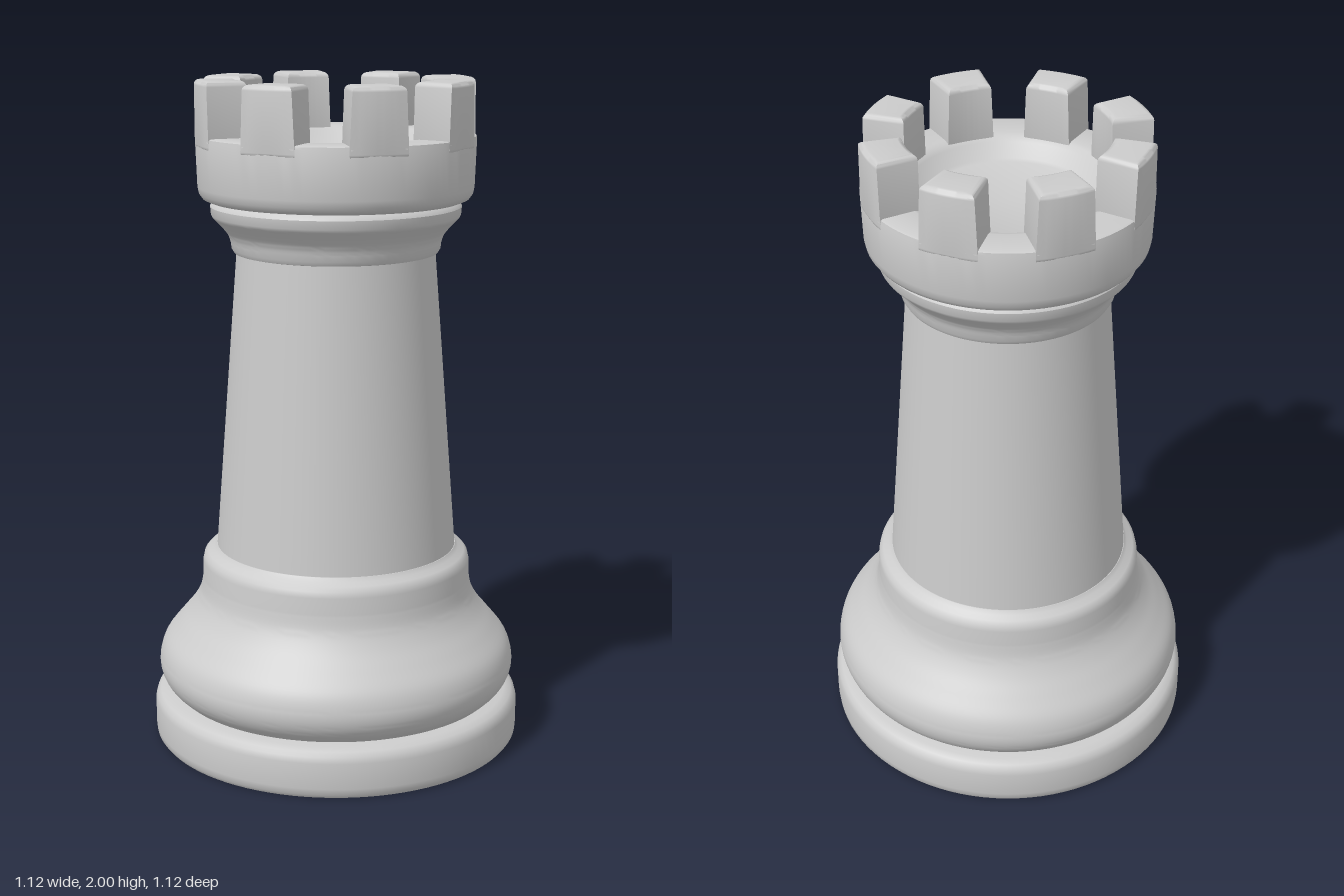
import * as THREE from 'three';
import { toCreasedNormals } from 'three/addons/utils/BufferGeometryUtils.js';

const material = new THREE.MeshStandardMaterial({ color: 0xcccccc });
const SEGMENTS = 96;
const MERLONS = 8;

// Smooth a list of [radius, height] points into profile points.
function smooth(points, divisions) {
  return new THREE.SplineCurve(points.map(([r, y]) => new THREE.Vector2(r, y))).getPoints(divisions);
}

// Turn a bottom-to-top profile around the y axis.
function turned(name, profile) {
  const points = profile.map((p) => (p.isVector2 ? p : new THREE.Vector2(p[0], p[1])));
  const geometry = toCreasedNormals(new THREE.LatheGeometry(points, SEGMENTS), 0.6);
  const mesh = new THREE.Mesh(geometry, material);
  mesh.name = name;
  return mesh;
}

// One battlement block: a ring sector with rounded edges.
function merlonGeometry() {
  const bevel = 0.016;
  const outer = 0.411 - bevel, inner = 0.29 + bevel;
  const outerAngle = (0.076 - bevel) / outer;
  const innerAngle = (0.066 - bevel) / inner;
  const shape = new THREE.Shape();
  shape.absarc(0, 0, outer, -outerAngle, outerAngle, false);
  shape.absarc(0, 0, inner, innerAngle, -innerAngle, true);
  shape.closePath();
  const geometry = new THREE.ExtrudeGeometry(shape, {
    depth: 0.2 - 2 * bevel, bevelEnabled: true, bevelSize: bevel,
    bevelThickness: bevel, bevelSegments: 4, curveSegments: 8,
  });
  geometry.rotateX(-Math.PI / 2);
  geometry.translate(0, 1.8 + bevel, 0);
  // Widen the block slightly towards its foot
  const pos = geometry.attributes.position;
  for (let i = 0; i < pos.count; i++) {
    pos.setZ(i, pos.getZ(i) * (1 + (2 - pos.getY(i)) * 0.6));
    const r = Math.hypot(pos.getX(i), pos.getZ(i));
    if (r > 0.411) {
      pos.setX(i, pos.getX(i) * 0.411 / r);
      pos.setZ(i, pos.getZ(i) * 0.411 / r);
    }
  }
  return toCreasedNormals(geometry, 0.8);
}

export function createModel() {
  const model = new THREE.Group();
  model.name = 'rook';

  // Foot disc with a closed underside
  model.add(turned('foot', [
    [0, 0], [0.55, 0], [0.559, 0.012], [0.561, 0.03], [0.561, 0.108],
    [0.556, 0.126], [0.545, 0.138], [0.525, 0.146], [0.48, 0.15],
  ]));

  // Bulging base and its upper band
  model.add(turned('base', [
    ...smooth([
      [0.495, 0.146], [0.525, 0.175], [0.542, 0.21], [0.544, 0.25], [0.528, 0.3],
      [0.487, 0.352], [0.446, 0.402], [0.419, 0.45], [0.408, 0.5],
    ], 40),
    [0.407, 0.55], [0.403, 0.568], [0.392, 0.58], [0.374, 0.588], [0.365, 0.6], [0.34, 0.602],
  ]));

  // Tapered shaft
  model.add(turned('shaft', [[0.364, 0.59], [0.294, 1.5]]));

  // Flared collar under the crown
  model.add(turned('collar', [
    [0.285, 1.492], [0.302, 1.496], [0.309, 1.508],
    ...smooth([[0.311, 1.525], [0.32, 1.55], [0.343, 1.578], [0.363, 1.598]], 12),
    [0.368, 1.607], [0.37, 1.632], [0.364, 1.642], [0.35, 1.65],
  ]));

  // Crown wall, sloping inner rim and sunken floor
  model.add(turned('crown', [
    [0.34, 1.647], [0.375, 1.649], [0.392, 1.656], [0.402, 1.67], [0.406, 1.69],
    [0.411, 1.83], [0.409, 1.837], [0.402, 1.84], [0.31, 1.84], [0.295, 1.836],
    [0.28, 1.824], [0.25, 1.786], [0.238, 1.78], [0, 1.78],
  ]));

  // Ring of battlements
  const battlements = new THREE.Group();
  battlements.name = 'battlements';
  const geometry = merlonGeometry();
  for (let i = 0; i < MERLONS; i++) {
    const merlon = new THREE.Mesh(geometry, material);
    merlon.name = 'merlon';
    merlon.rotation.y = (i / MERLONS) * Math.PI * 2;
    battlements.add(merlon);
  }
  model.add(battlements);

  return model;
}
